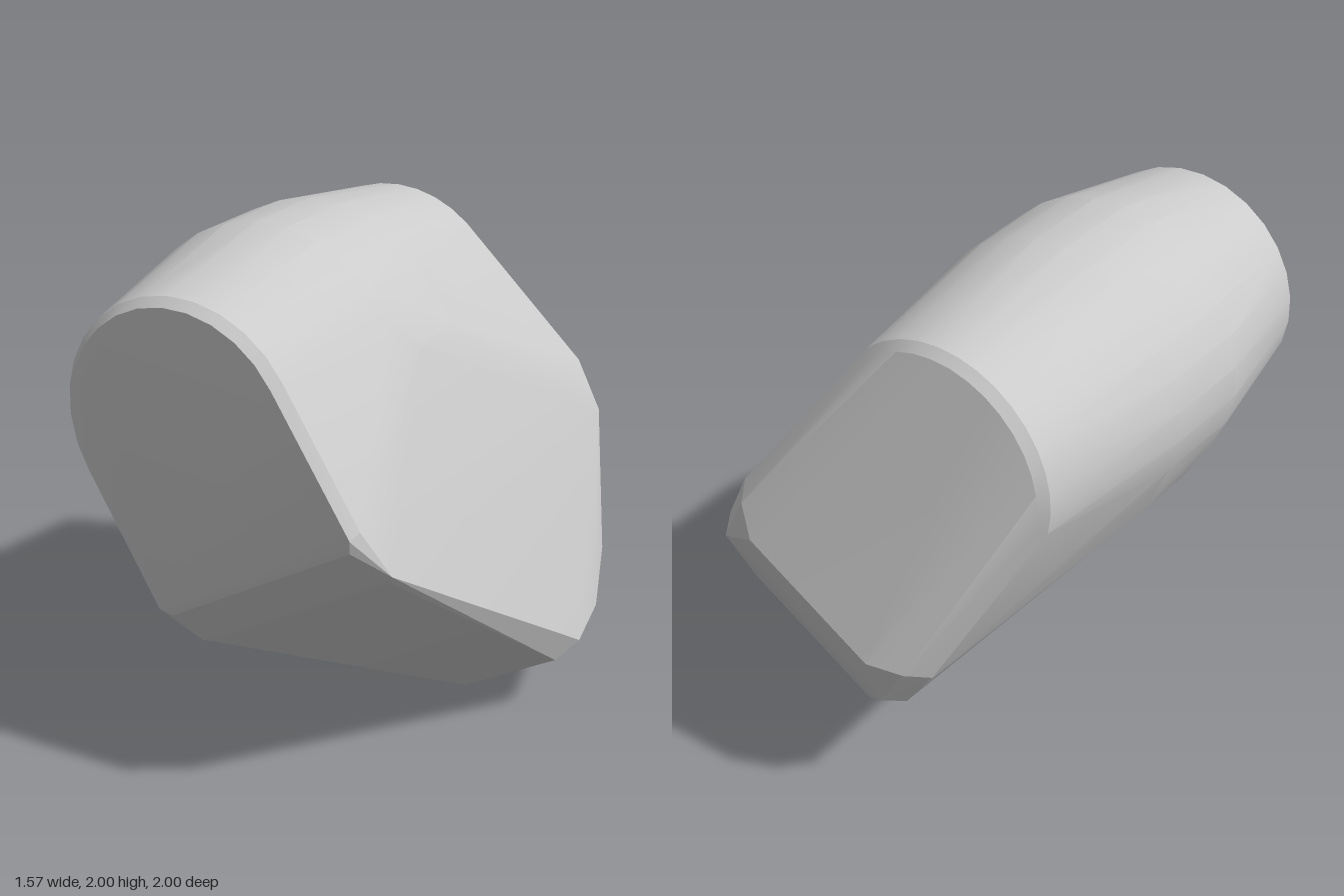
import * as THREE from 'three';
import { ConvexGeometry } from 'three/addons/geometries/ConvexGeometry.js';
import { toCreasedNormals } from 'three/addons/utils/BufferGeometryUtils.js';

// The body leans 30 degrees: u runs across its width, v runs up its length.
const LEAN = Math.PI / 6;
const CENTRE = new THREE.Vector2(-0.23, 1.43);

function place(u, v, z) {
  const c = Math.cos(LEAN), s = Math.sin(LEAN);
  return new THREE.Vector3(CENTRE.x + u * c - v * s, CENTRE.y + u * s + v * c, z);
}

export function createModel() {
  const points = [];

  // Rounded dome: half rings [radius, z, start angle in degrees]
  const rings = [
    [0.43, 1.0, 0], [0.46, 0.965, 0],
    [0.56, 0.4, 0], [0.553, 0.03, 0],
    [0.46, -0.6, 18], [0.43, -0.635, 19],
  ];
  const steps = 14;
  for (const [r, z, start] of rings) {
    for (let i = 0; i <= steps; i++) {
      const a = THREE.MathUtils.degToRad(start + (180 - 2 * start) * i / steps);
      points.push(place(r * Math.cos(a), r * Math.sin(a), z));
    }
  }

  // Mirrored corners of the tapering lower body [half width, v, z]
  const corners = [
    // Widest part of the flanks
    [0.572, -0.13, 0.3], [0.57, -0.13, 0.05],
    // Front face and its bevel
    [0.44, -0.55, 1.0], [0.465, -0.54, 0.96], [0.41, -0.59, 0.99],
    [0.44, -0.735, 0.88], [0.41, -0.76, 0.86],
    // Sloping back face and its bevel
    [0.3, -0.58, -1.0], [0.42, -0.55, -0.94], [0.49, -0.56, -0.85],
    [0.3, -0.64, -0.985], [0.41, -0.77, -0.94], [0.475, -0.78, -0.85],
    // Narrow bottom edge
    [0.33, -1.28, -0.64], [0.31, -1.44, -0.43],
    [0.31, -1.485, -0.2], [0.22, -1.51, -0.12],
    [0.19, -1.525, -0.2], [0.19, -1.5, -0.36],
  ];
  for (const [u, v, z] of corners) {
    points.push(place(u, v, z), place(-u, v, z));
  }

  const geometry = toCreasedNormals(new ConvexGeometry(points), 0.25);
  const body = new THREE.Mesh(geometry, new THREE.MeshStandardMaterial({ color: 0xcccccc }));
  body.name = 'body';

  const group = new THREE.Group();
  group.name = 'leaningBlock';
  group.add(body);
  return group;
}
